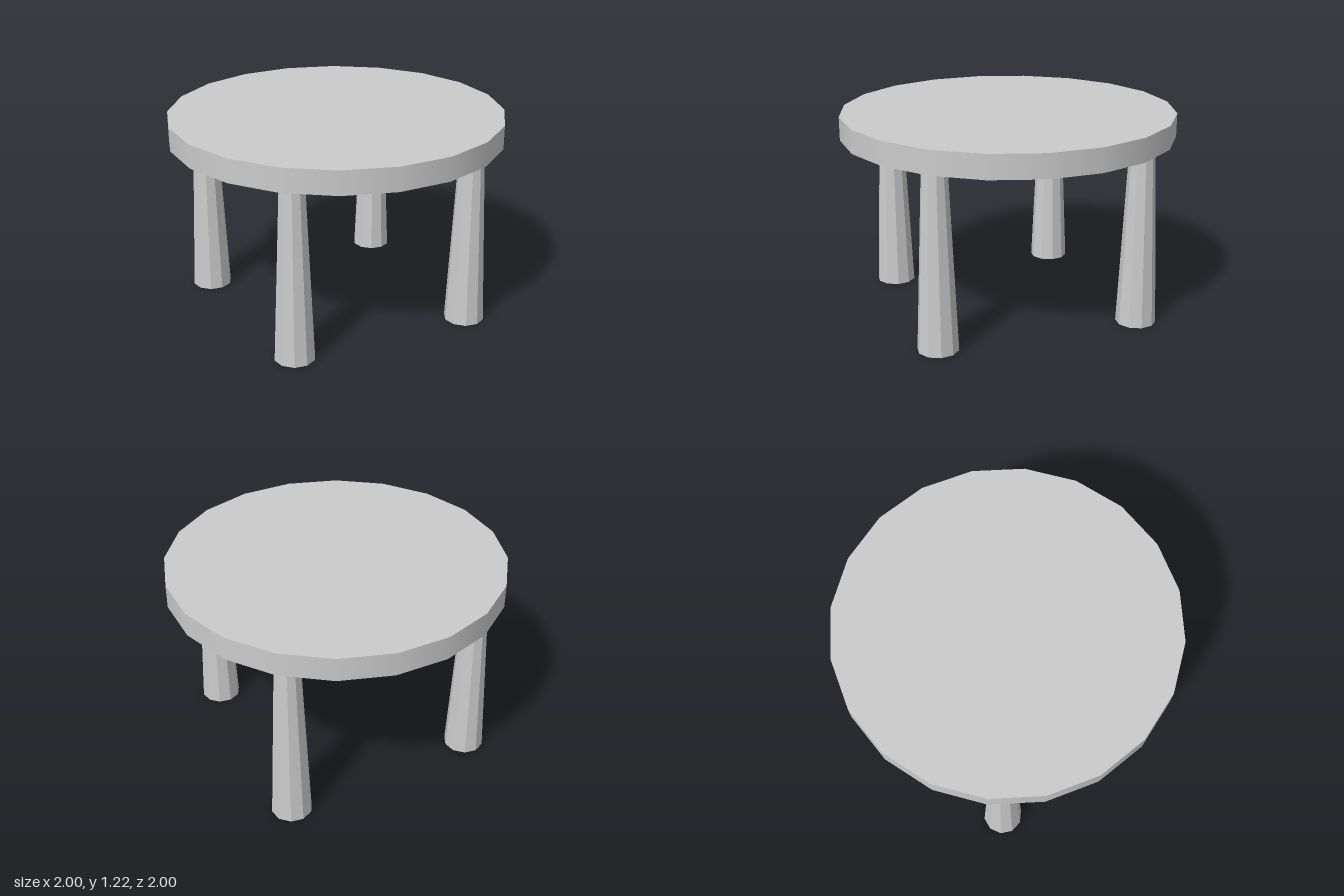
import * as THREE from 'three';

const LEG_HEIGHT = 1.08;
const TOP_THICKNESS = 0.14;

export function createModel() {
  const table = new THREE.Group();
  table.name = 'roundTable';

  const smooth = new THREE.MeshStandardMaterial({ color: 0xcccccc });
  const faceted = new THREE.MeshStandardMaterial({ color: 0xcccccc, flatShading: true });

  // Twenty-sided round slab with a smooth rim
  const tabletop = new THREE.Mesh(new THREE.CylinderGeometry(1, 1, TOP_THICKNESS, 20), smooth);
  tabletop.name = 'tabletop';
  tabletop.position.y = LEG_HEIGHT + TOP_THICKNESS / 2;
  table.add(tabletop);

  // Ten-sided legs, wider at the foot, with corners pointing along x
  const legGeometry = new THREE.CylinderGeometry(0.073, 0.12, LEG_HEIGHT, 10);
  legGeometry.rotateY(Math.PI / 2);

  const legs = [
    ['frontLeg', 0, 0.81],
    ['backLeg', 0, -0.84],
    ['leftLeg', 0.83, 0.06],
    ['rightLeg', -0.825, 0.06],
  ];
  for (const [name, x, z] of legs) {
    const leg = new THREE.Mesh(legGeometry, faceted);
    leg.name = name;
    leg.position.set(x, LEG_HEIGHT / 2, z);
    table.add(leg);
  }

  return table;
}
